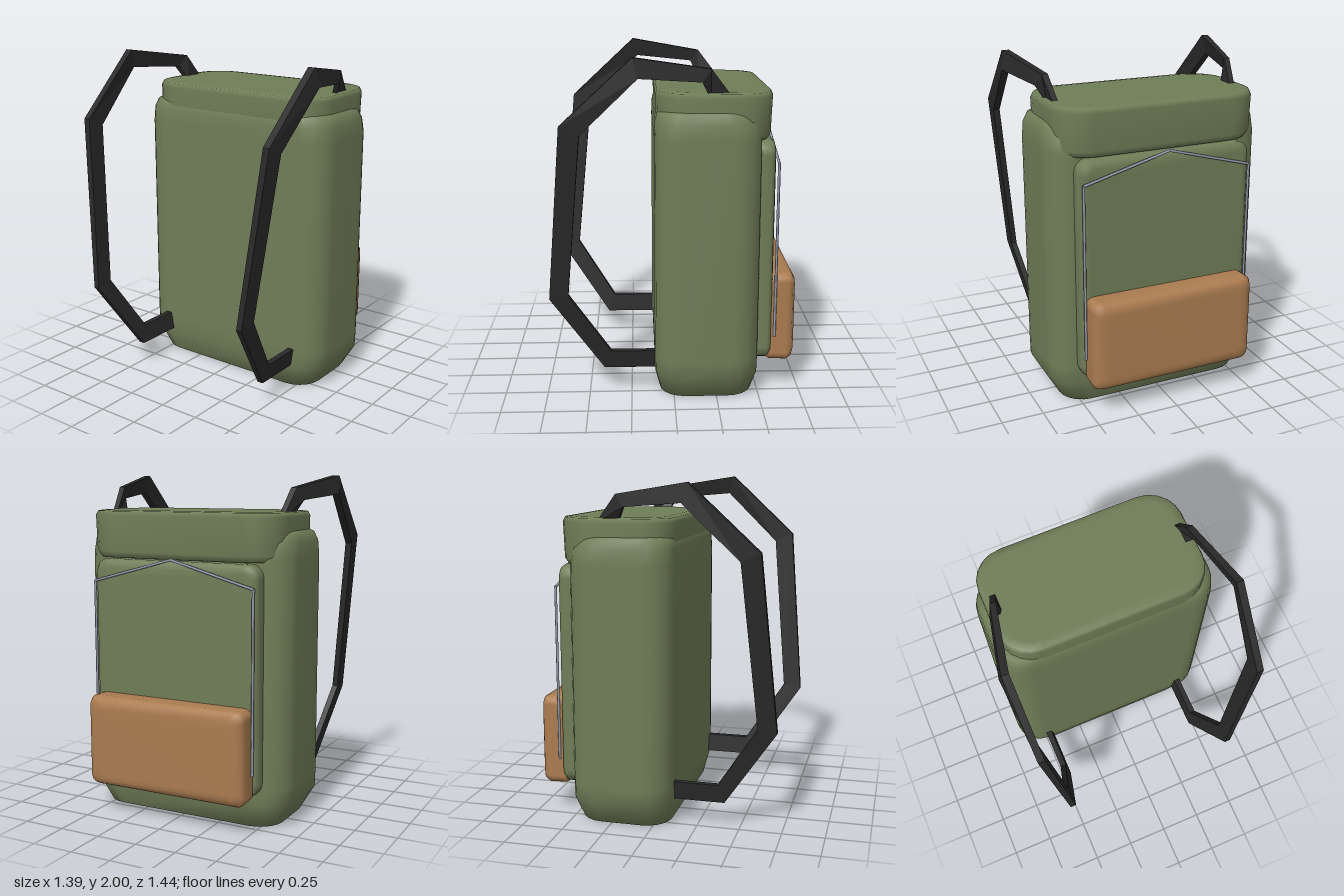
import * as THREE from 'three';

const material = (name, color) => {
  const m = new THREE.MeshStandardMaterial({ color });
  m.name = name;
  return m;
};

// Skin a list of closed rings and cap both ends
function skin(rings) {
  const n = rings[0].length, pos = rings.flat(2), idx = [];
  rings.slice(1).forEach((_, i) => {
    for (let j = 0; j < n; j++) {
      const k = (j + 1) % n, a = i * n + j, b = i * n + k;
      idx.push(a, a + n, b, b, a + n, b + n);
    }
  });
  const last = (rings.length - 1) * n;
  for (let j = 1; j < n - 1; j++) {
    idx.push(0, j, j + 1);
    idx.push(last, last + j + 1, last + j);
  }
  const g = new THREE.BufferGeometry();
  g.setAttribute('position', new THREE.Float32BufferAttribute(pos, 3));
  g.setIndex(idx);
  return g;
}

// Rounded rectangle ring at height y
function roundedRing([y, halfWidth, z0, z1, r], steps = 5) {
  const ring = [], corners = [[1, 1], [-1, 1], [-1, -1], [1, -1]];
  corners.forEach(([sx, sz], q) => {
    for (let i = 0; i <= steps; i++) {
      const a = (q + i / steps) * Math.PI / 2;
      const cx = sx * (halfWidth - r), cz = sz > 0 ? z1 - r : z0 + r;
      ring.push([cx + r * Math.cos(a), y, cz + r * Math.sin(a)]);
    }
  });
  return ring;
}

// Smooth loft through levels of [height, halfWidth, zMin, zMax, cornerRadius]
function loft(levels) {
  const g = skin(levels.map((l) => roundedRing(l)));
  g.computeVertexNormals();
  return g;
}

export function createModel() {
  const model = new THREE.Group();
  const canvas = material('green canvas', 0x6f7d57);
  const leather = material('tan leather', 0xab7c50);
  const webbing = material('black webbing', 0x292929);
  const metal = material('grey metal', 0x959bac);
  const add = (name, geometry, mat) => {
    const mesh = new THREE.Mesh(geometry, mat);
    mesh.name = name;
    model.add(mesh);
    return mesh;
  };

  // Main bag with tapered base
  add('bag', loft([
    [0, 0.50, -0.40, 0.02, 0.12],
    [0, 0.58, -0.465, 0.08, 0.15],
    [0.14, 0.66, -0.495, 0.11, 0.16],
    [0.24, 0.662, -0.497, 0.112, 0.16],
    [1.54, 0.662, -0.495, 0.112, 0.16],
    [1.63, 0.655, -0.48, 0.108, 0.16],
    [1.68, 0.635, -0.45, 0.095, 0.16],
    [1.705, 0.59, -0.41, 0.06, 0.14],
  ]), canvas);

  // Lid overhanging the back
  add('lid', loft([
    [1.52, 0.54, -0.48, 0.03, 0.15],
    [1.525, 0.59, -0.535, 0.08, 0.18],
    [1.56, 0.612, -0.553, 0.098, 0.19],
    [1.77, 0.615, -0.56, 0.104, 0.19],
    [1.795, 0.605, -0.55, 0.095, 0.19],
    [1.80, 0.56, -0.51, 0.05, 0.16],
  ]), canvas);

  // Raised rear panel, lofted outward towards -z
  add('rearPanel', loft([
    [0.44, 0.52, 0.21, 1.51, 0.08],
    [0.50, 0.53, 0.20, 1.52, 0.08],
    [0.55, 0.53, 0.20, 1.52, 0.08],
    [0.572, 0.515, 0.22, 1.505, 0.07],
    [0.58, 0.48, 0.25, 1.47, 0.05],
  ]).rotateX(-Math.PI / 2), canvas);

  // Leather pocket
  add('pocket', loft([
    [0.55, 0.49, 0.20, 0.71, 0.04],
    [0.57, 0.505, 0.185, 0.725, 0.05],
    [0.67, 0.508, 0.182, 0.727, 0.05],
    [0.70, 0.495, 0.195, 0.715, 0.05],
    [0.716, 0.46, 0.225, 0.685, 0.04],
    [0.717, 0.42, 0.26, 0.65, 0.03],
  ]).rotateX(-Math.PI / 2), leather);

  // Thin wire frame with a peaked top
  const wire = new THREE.Group();
  wire.name = 'wireFrame';
  model.add(wire);
  const wirePoints = [[-0.513, 0.35], [-0.513, 1.39], [0, 1.53], [0.513, 1.39], [0.513, 0.35]]
    .map(([x, y]) => new THREE.Vector3(x, y, -0.595));
  wirePoints.slice(1).forEach((end, i) => {
    const start = wirePoints[i], dir = end.clone().sub(start);
    const rod = new THREE.Mesh(new THREE.CylinderGeometry(0.008, 0.008, dir.length() + 0.008, 6), metal);
    rod.name = 'wireRod';
    rod.position.copy(start).add(end).multiplyScalar(0.5);
    rod.quaternion.setFromUnitVectors(new THREE.Vector3(0, 1, 0), dir.normalize());
    wire.add(rod);
  });

  // Shoulder straps: [outerX, outerY, outerZ, innerX, innerY, innerZ, halfThickness]
  const strapPath = [
    [0.55, 1.76, -0.33, 0.55, 1.76, -0.20, 0.016],
    [0.575, 1.93, -0.20, 0.60, 1.86, -0.15, 0.018],
    [0.662, 2.00, 0.23, 0.675, 1.89, 0.20, 0.022],
    [0.648, 1.63, 0.63, 0.648, 1.58, 0.52, 0.02],
    [0.54, 0.61, 0.72, 0.545, 0.63, 0.61, 0.018],
    [0.468, 0.15, 0.41, 0.485, 0.26, 0.37, 0.018],
    [0.468, 0.15, 0.05, 0.485, 0.26, 0.05, 0.018],
  ];
  for (const side of [1, -1]) {
    const rings = strapPath.map(([ox, oy, oz, ix, iy, iz, t]) => [
      [side * ox + t, oy, oz], [side * ix + t, iy, iz],
      [side * ix - t, iy, iz], [side * ox - t, oy, oz],
    ]);
    const g = skin(rings).toNonIndexed();
    g.computeVertexNormals();
    add(side > 0 ? 'leftStrap' : 'rightStrap', g, webbing);
  }

  return model;
}
